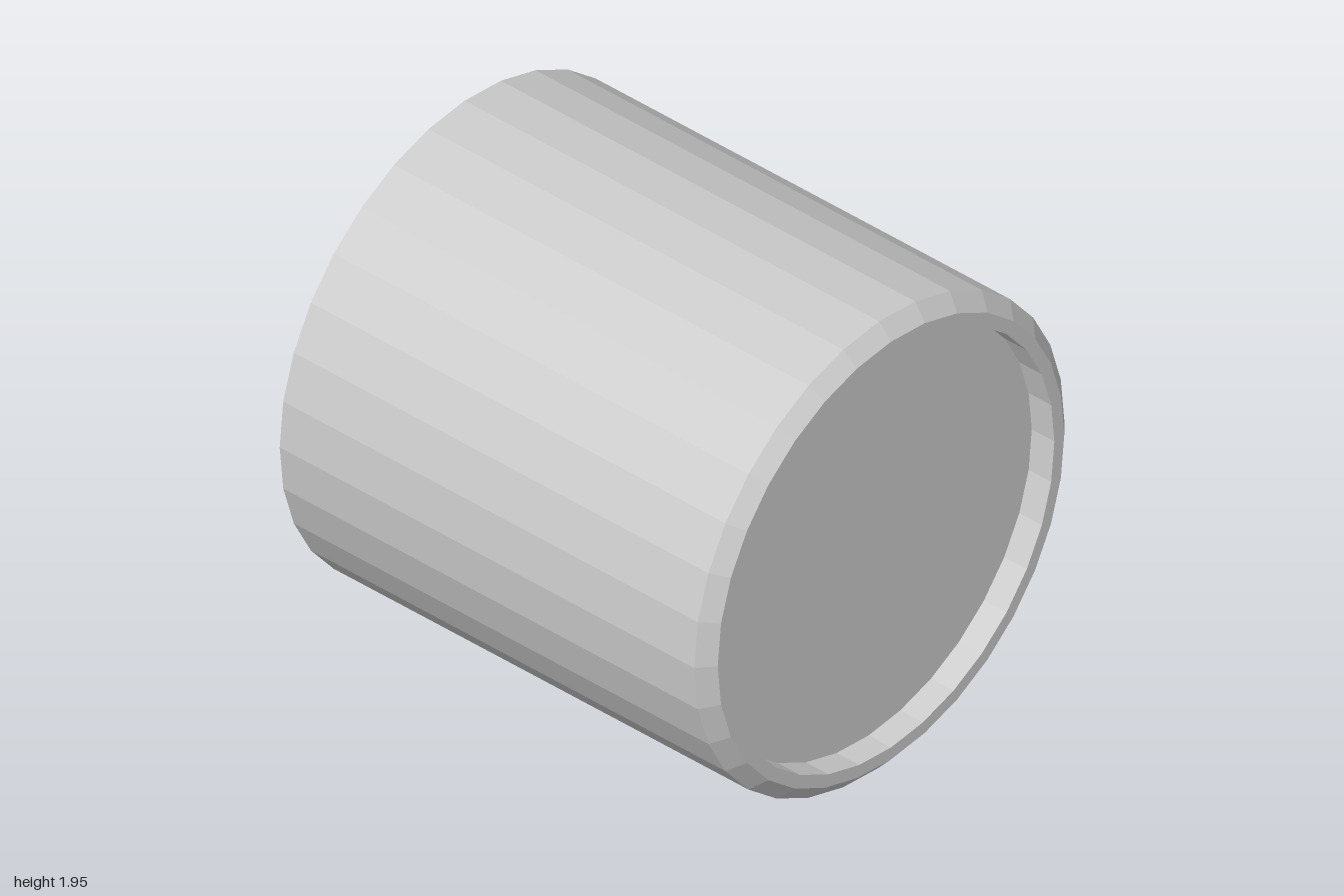
import * as THREE from 'three';

const SIDES = 32;
const RADIUS = 0.973;

export function createModel() {
  const group = new THREE.Group();
  const material = new THREE.MeshStandardMaterial({ color: 0xcccccc, flatShading: true });

  // Faceted solid turned about the x axis, from a [radius, x] profile
  const turned = (name, profile) => {
    const points = profile.map(([r, x]) => new THREE.Vector2(r, x));
    const geometry = new THREE.LatheGeometry(points, SIDES).rotateZ(-Math.PI / 2);
    const mesh = new THREE.Mesh(geometry, material);
    mesh.name = name;
    mesh.position.y = RADIUS;
    group.add(mesh);
  };

  // Closed end and outer wall
  turned('barrel', [[0, -1], [RADIUS, -1], [RADIUS, 0.945]]);
  // Chamfered edge and flat lip
  turned('rim', [[RADIUS, 0.945], [0.911, 1], [0.859, 1]]);
  // Shallow recess inside the lip
  turned('recess', [[0.859, 1], [0.859, 0.894], [0, 0.894]]);

  return group;
}
